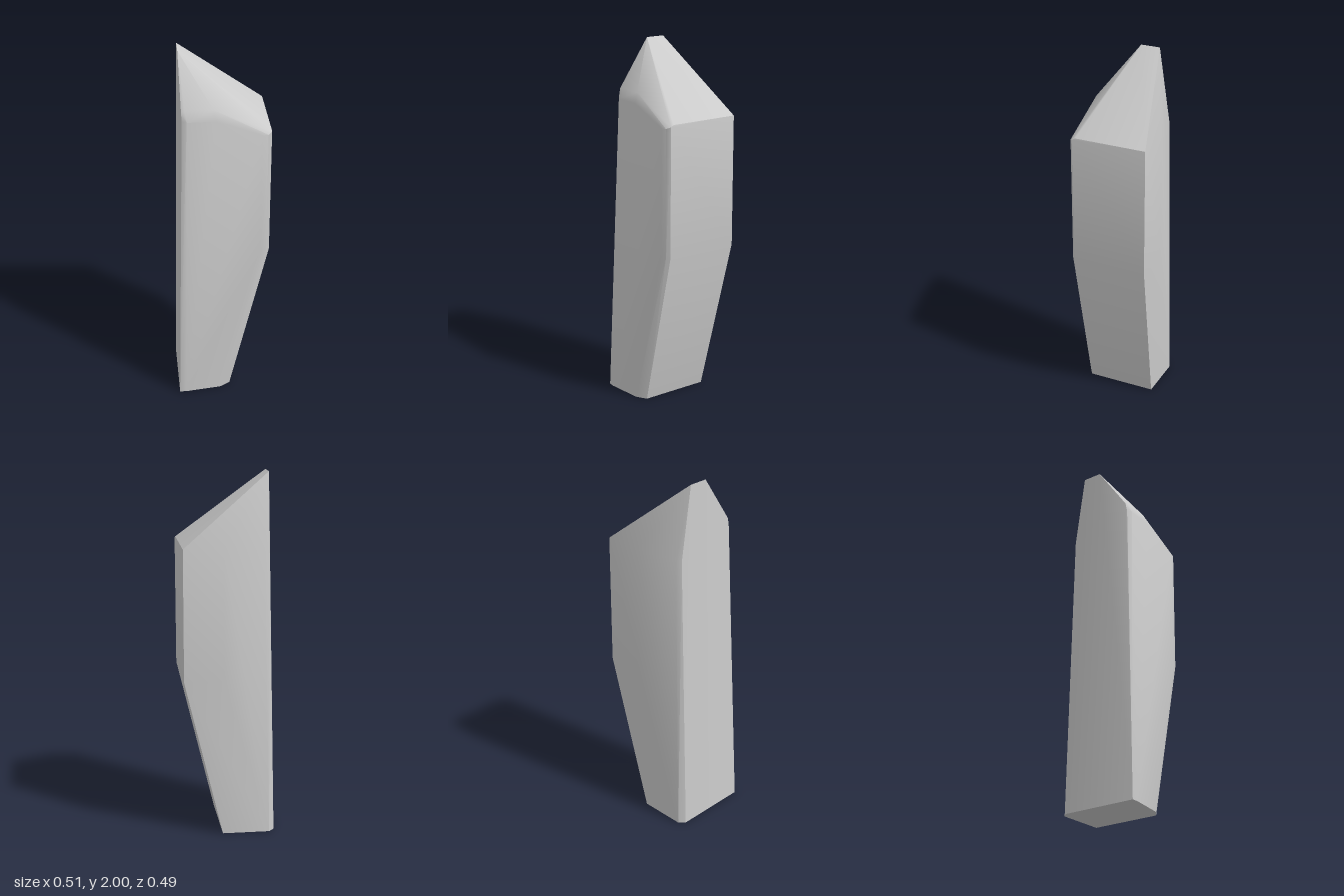
import * as THREE from 'three';
import { ConvexGeometry } from 'three/addons/geometries/ConvexGeometry.js';
import { toCreasedNormals } from 'three/addons/utils/BufferGeometryUtils.js';

export function createModel() {
  const group = new THREE.Group();
  group.name = 'standingStone';

  // Corner points of the cut stone, level by level
  const base = [
    [-0.255, 0, 0.24], [-0.22, 0, 0.242], [-0.02, 0, 0.215], [0.035, 0, 0.18],
    [0.035, 0, -0.203], [-0.225, 0, -0.21], [-0.255, 0, -0.18],
  ];
  const waist = [
    [0.25, 0.9, 0.17], [0.232, 0.9, 0.187], [0.2, 0.9, 0.194],
    [0.25, 0.9, -0.244], [0.035, 0.9, -0.244],
  ];
  const shoulder = [
    [0.25, 1.62, 0.152], [0.252, 1.61, 0.17], [0.232, 1.6, 0.187], [0.2, 1.6, 0.193],
    [-0.04, 1.69, 0.193], [-0.19, 1.69, 0.194], [-0.215, 1.69, 0.18],
    [-0.05, 1.745, 0.172], [-0.2, 1.745, 0.172], [-0.217, 1.74, 0.17],
    [0.25, 1.62, -0.244], [0.035, 1.62, -0.244], [-0.19, 1.6, -0.192], [-0.217, 1.6, -0.178],
  ];
  const ridge = [[-0.22, 2, -0.01], [-0.22, 2, -0.117]];

  const points = [...base, ...waist, ...shoulder, ...ridge].map((p) => new THREE.Vector3(...p));

  // Soft bevels blend, the main edges stay sharp
  const geometry = toCreasedNormals(new ConvexGeometry(points), THREE.MathUtils.degToRad(30));
  const stone = new THREE.Mesh(geometry, new THREE.MeshStandardMaterial({ color: 0xcccccc }));
  stone.name = 'stone';
  group.add(stone);
  return group;
}
